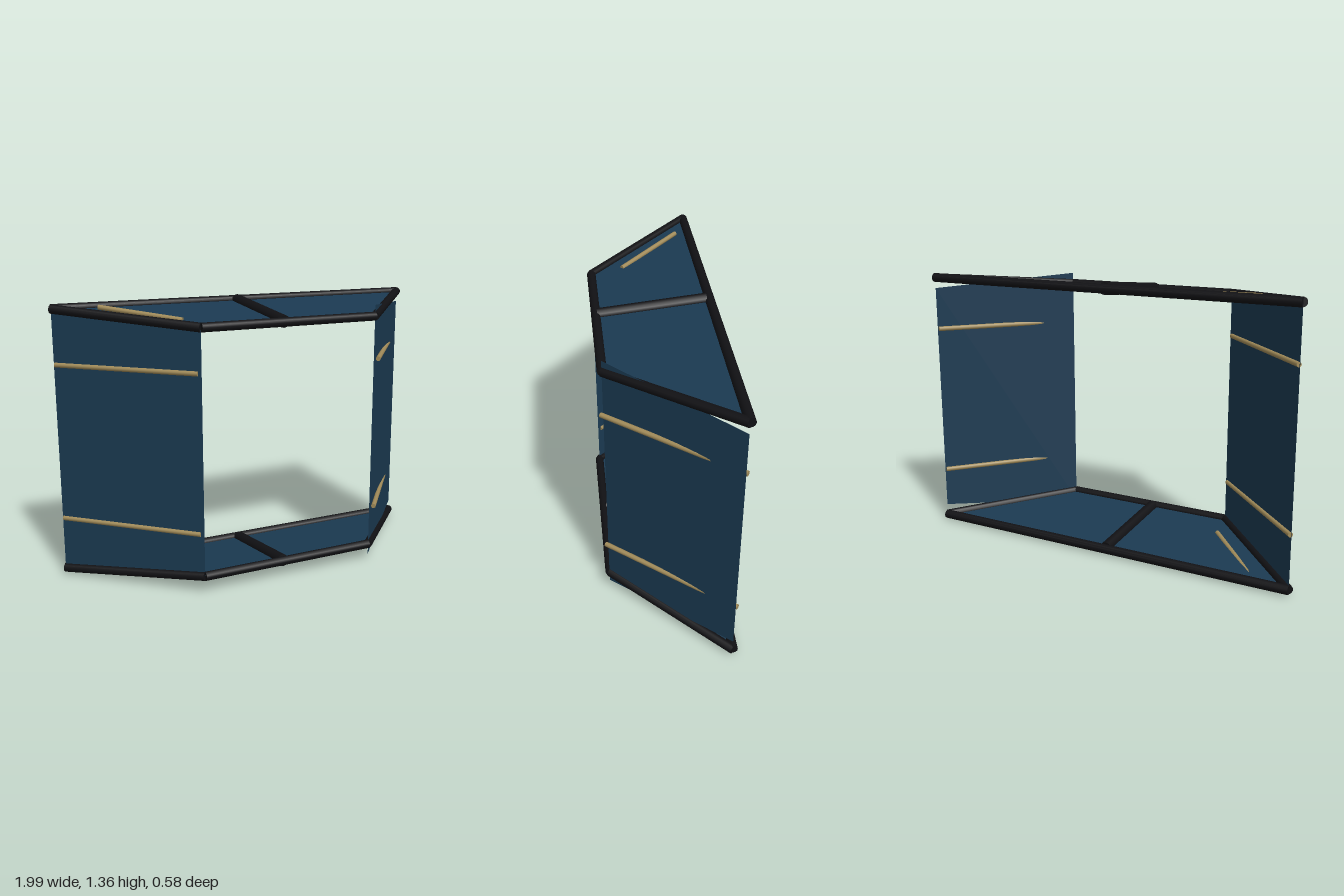
import * as THREE from 'three';

const HEIGHT = 1.37;
const blue = new THREE.MeshStandardMaterial({ color: 0x1b3a52, side: THREE.DoubleSide });
const black = new THREE.MeshStandardMaterial({ color: 0x111114 });
const gold = new THREE.MeshStandardMaterial({ color: 0xa08a58 });

// Straight round bar between two points
function bar(name, a, b, radius, material) {
  const start = new THREE.Vector3(...a);
  const end = new THREE.Vector3(...b);
  const dir = end.clone().sub(start);
  const mesh = new THREE.Mesh(new THREE.CylinderGeometry(radius, radius, dir.length(), 12), material);
  mesh.position.copy(start).add(end).multiplyScalar(0.5);
  mesh.quaternion.setFromUnitVectors(new THREE.Vector3(0, 1, 0), dir.normalize());
  mesh.name = name;
  return mesh;
}

// Thin four-cornered sheet
function sheet(name, corners) {
  const geometry = new THREE.BufferGeometry();
  geometry.setAttribute('position', new THREE.Float32BufferAttribute(corners.flat(), 3));
  geometry.setIndex([0, 1, 2, 0, 2, 3]);
  geometry.computeVertexNormals();
  const mesh = new THREE.Mesh(geometry, blue);
  mesh.name = name;
  return mesh;
}

// Framed trapezoid sail; the lower one is the upper one flipped in height
function sail(name, upper) {
  const group = new THREE.Group();
  group.name = name;
  const at = (x, y, z) => [x, upper ? y : HEIGHT - y, z];
  const backLeft = at(0.98, 1.335, -0.27);
  const backRight = at(-0.98, 1.335, -0.27);
  const frontRight = at(-0.447, 1.28, 0.268);
  const frontLeft = at(0.477, 1.28, 0.268);
  const corners = [frontRight, frontLeft, backLeft, backRight];
  group.add(
    sheet('sailCloth', upper ? corners : corners.slice().reverse()),
    bar('backSpar', backRight, backLeft, 0.023, black),
    bar('frontSpar', frontRight, frontLeft, 0.022, black),
    bar('rightSpar', backRight, frontRight, 0.022, black),
    bar('leftSpar', backLeft, frontLeft, 0.022, black),
    bar('centreSpar', at(-0.022, 1.334, -0.256), at(-0.022, 1.281, 0.26), 0.03, black),
    bar('sailBatten', at(-0.77, 1.34, -0.2), at(-0.47, 1.297, 0.11), 0.012, gold),
  );
  return group;
}

export function createModel() {
  const model = new THREE.Group();
  model.name = 'boxKite';
  model.add(sail('upperSail', true), sail('lowerSail', false));

  // Side cloths: the right one is taller at the back, the left one taller at the front
  model.add(
    sheet('rightCloth', [[-0.98, 0.035, -0.27], [-0.447, 0.09, 0.268], [-0.447, 1.28, 0.268], [-0.98, 1.335, -0.27]]),
    sheet('leftCloth', [[0.477, 0.035, 0.27], [0.98, 0.09, -0.268], [0.98, 1.28, -0.268], [0.477, 1.335, 0.27]]),
  );

  // Battens across the side cloths
  for (const y of [0.3, 1.07]) {
    model.add(
      bar('rightBatten', [-0.975, y, -0.268], [-0.46, y, 0.255], 0.012, gold),
      bar('leftBatten', [0.495, y, 0.282], [0.962, y, -0.28], 0.012, gold),
    );
  }
  return model;
}
